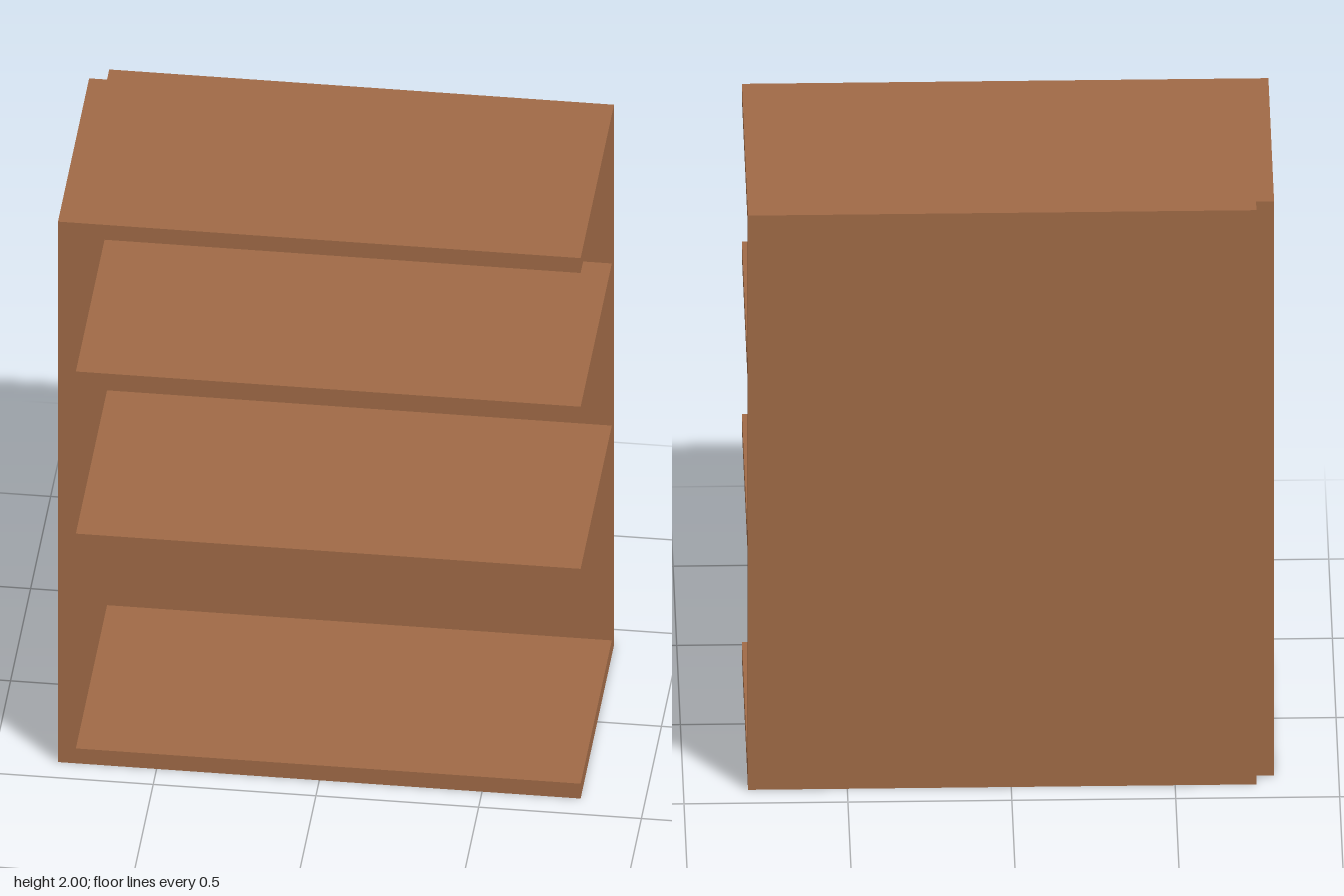
import * as THREE from 'three';

export function createModel() {
  const model = new THREE.Group();
  model.name = 'bookshelf';
  const wood = new THREE.MeshStandardMaterial({ color: 0xa06a46 });
  wood.name = 'brown wood';

  const W = 0.803, D = 0.416, H = 2, T = 0.055; // half width, half depth, height, board thickness

  // Board spanning two opposite corners
  function board(name, x0, x1, y0, y1, z0, z1) {
    const mesh = new THREE.Mesh(new THREE.BoxGeometry(x1 - x0, y1 - y0, z1 - z0), wood);
    mesh.position.set((x0 + x1) / 2, (y0 + y1) / 2, (z0 + z1) / 2);
    mesh.name = name;
    model.add(mesh);
  }

  // Side and back panels meet only at their inner edges, leaving a corner notch
  board('sidePanel', -W, -W + T, 0, H, -D + T, D);
  board('backPanel', -W + T, W, 0, H, -D, -D + T);

  // Base, two shelves and top, open on the other side
  const levels = { base: 0, lowerShelf: 0.795, upperShelf: 1.395, top: H - T };
  for (const [name, y] of Object.entries(levels)) {
    board(name, -W + T, W, y, y + T, -D + T, D);
  }
  return model;
}
